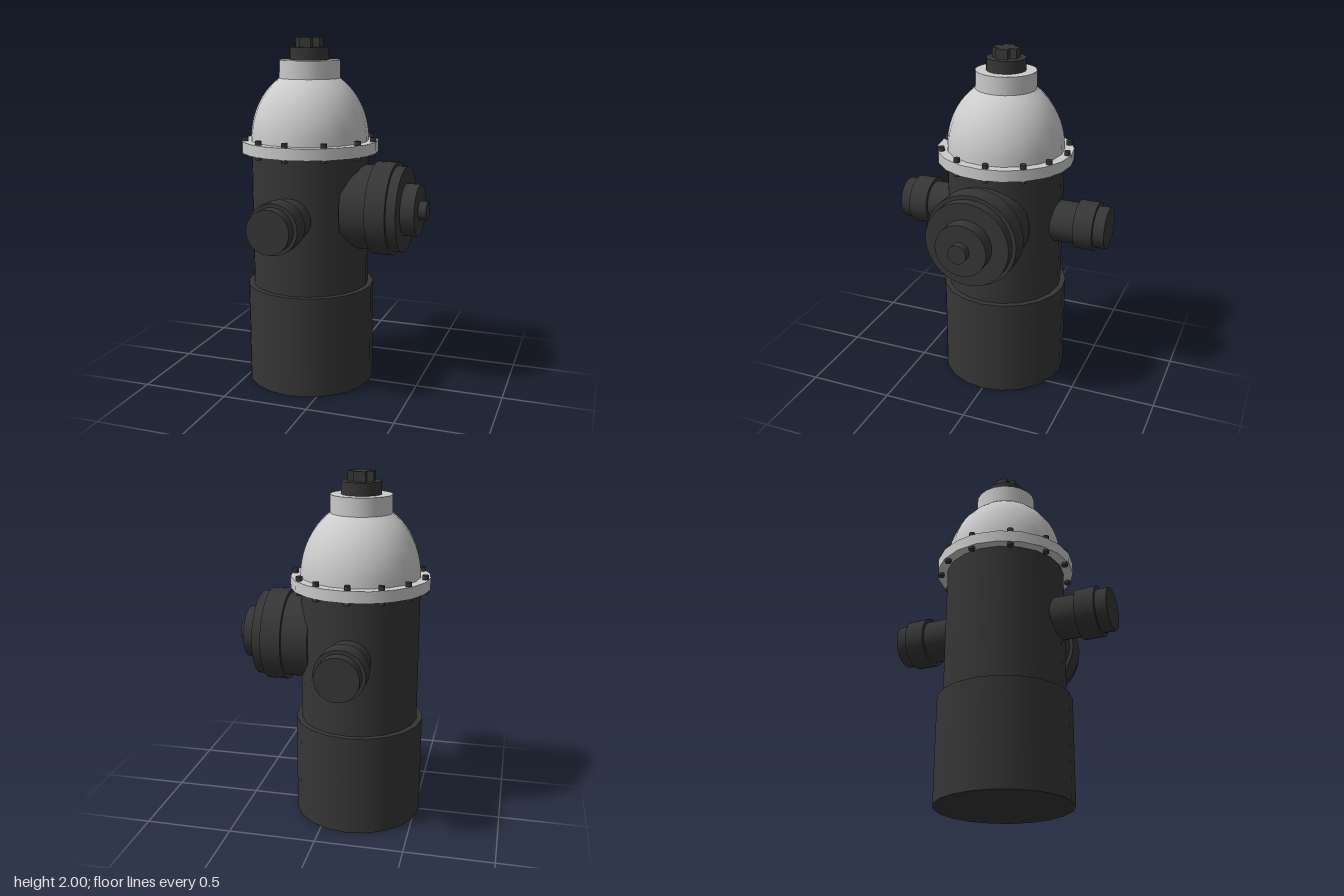
import * as THREE from 'three';

const SIDES = 20;
const AXIS_X = -0.155;

export function createModel() {
  const model = new THREE.Group();
  model.name = 'fireHydrant';
  const barrel = new THREE.Group();
  barrel.name = 'hydrant';
  barrel.position.x = AXIS_X;
  model.add(barrel);

  const dark = new THREE.MeshStandardMaterial({ color: 0x363636 });
  const light = new THREE.MeshStandardMaterial({ color: 0xcccccc });

  const add = (parent, name, geometry, material) => {
    const mesh = new THREE.Mesh(geometry, material);
    mesh.name = name;
    parent.add(mesh);
    return mesh;
  };
  // Upright capped cylinder spanning from y0 to y1
  const drum = (parent, name, radius, y0, y1, material, sides = SIDES) => {
    const geometry = new THREE.CylinderGeometry(radius, radius, y1 - y0, sides);
    geometry.translate(0, (y0 + y1) / 2, 0);
    return add(parent, name, geometry, material);
  };

  // Main column
  drum(barrel, 'base', 0.37, 0, 0.585, dark);
  drum(barrel, 'body', 0.338, 0.585, 1.36, dark);
  drum(barrel, 'flange', 0.393, 1.36, 1.425, light);

  // Elliptical bonnet, cut off where the collar begins
  const profile = [];
  const topAngle = Math.acos(0.172 / 0.338);
  for (let i = 0; i <= 10; i++) {
    const a = (topAngle * i) / 10;
    profile.push(new THREE.Vector2(0.338 * Math.cos(a), 1.425 + 0.406 * Math.sin(a)));
  }
  add(barrel, 'bonnet', new THREE.LatheGeometry(profile, SIDES), light);
  drum(barrel, 'collar', 0.173, 1.77, 1.875, light);
  drum(barrel, 'nutBase', 0.112, 1.875, 1.945, dark);

  // Cross-shaped operating nut
  const w = 0.034, l = 0.072;
  const cross = new THREE.Shape([
    [w, l], [-w, l], [-w, w], [-l, w], [-l, -w], [-w, -w],
    [-w, -l], [w, -l], [w, -w], [l, -w], [l, w], [w, w],
  ].map(([x, y]) => new THREE.Vector2(x, y)));
  const nut = new THREE.ExtrudeGeometry(cross, { depth: 0.055, bevelEnabled: false });
  nut.rotateX(-Math.PI / 2).translate(0, 1.945, 0);
  add(barrel, 'operatingNut', nut, dark);

  // Slightly uneven ring of bolts passing through the flange
  const boltAngles = [4, 36, 61, 90, 118, 144, 174, 208, 241, 269, 302, 335];
  for (const degrees of boltAngles) {
    const a = THREE.MathUtils.degToRad(degrees);
    const bolt = drum(barrel, 'flangeBolt', 0.018, 1.343, 1.449, dark, 10);
    bolt.position.set(0.37 * Math.cos(a), 0, -0.37 * Math.sin(a));
  }

  // Hose outlets at the front and back
  for (const side of [1, -1]) {
    const outlet = new THREE.Group();
    outlet.name = side > 0 ? 'frontOutlet' : 'backOutlet';
    outlet.position.y = 1.02;
    outlet.rotation.x = (side * Math.PI) / 2;
    barrel.add(outlet);
    drum(outlet, 'outletPipe', 0.121, 0.2, 0.633, dark, 24);
    drum(outlet, 'outletBand', 0.141, 0.456, 0.568, dark, 24);
  }

  // Large pumper outlet on the model's left
  const pumper = new THREE.Group();
  pumper.name = 'pumperOutlet';
  pumper.position.y = 1.054;
  pumper.rotation.z = -Math.PI / 2;
  barrel.add(pumper);
  const steps = [
    ['pumperPipe', 0.243, 0.1, 0.42],
    ['pumperBand', 0.265, 0.25, 0.365],
    ['pumperCap', 0.148, 0.42, 0.5],
    ['pumperNut', 0.053, 0.5, 0.545],
  ];
  for (const [name, radius, x0, x1] of steps) {
    drum(pumper, name, radius, x0 - AXIS_X, x1 - AXIS_X, dark, 32);
  }

  return model;
}
